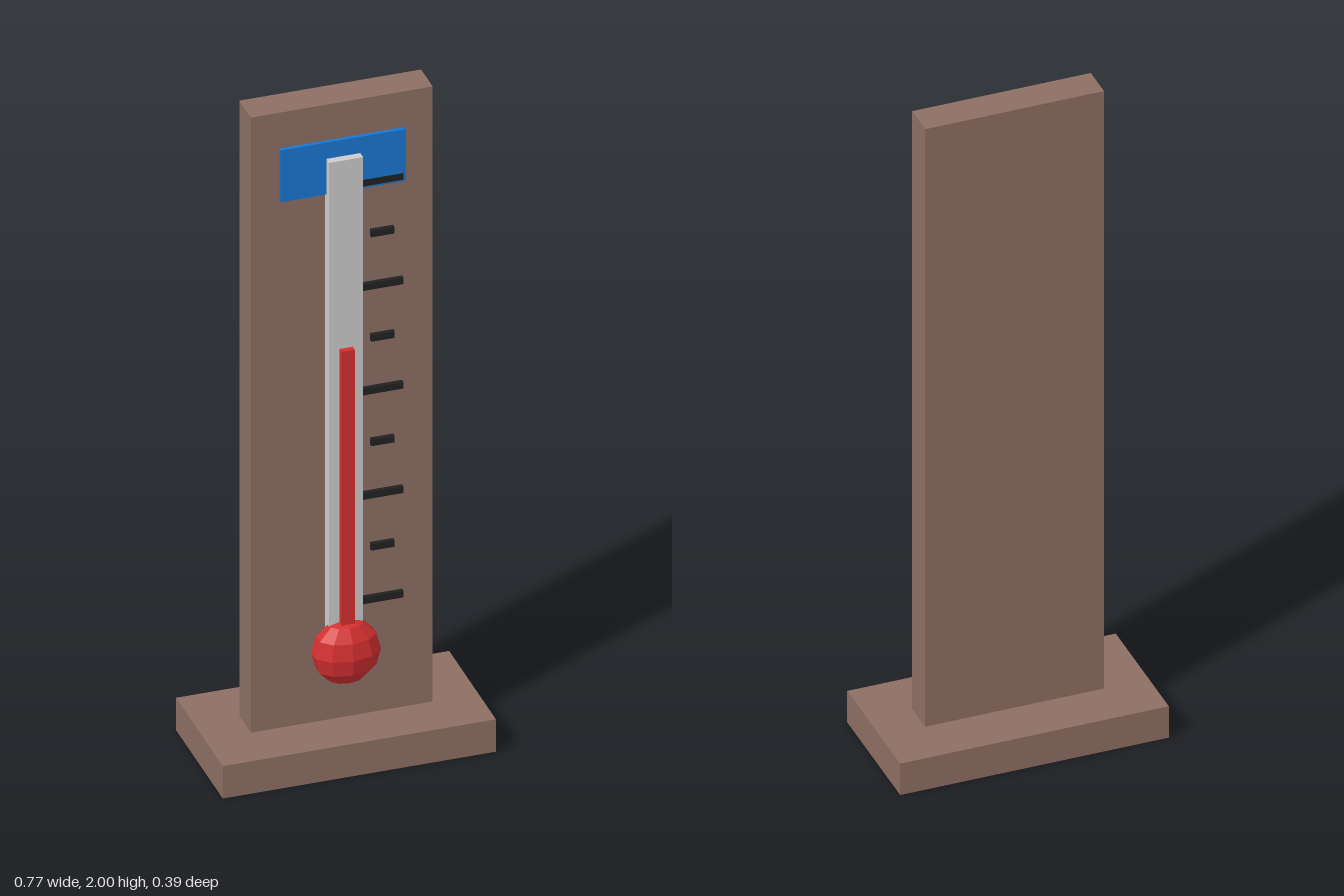
import * as THREE from 'three';

const material = (color) => new THREE.MeshStandardMaterial({ color, flatShading: true });

export function createModel() {
  const model = new THREE.Group();
  model.name = 'standingThermometer';
  const wood = material(0x8d6e63);
  const red = material(0xd32f2f);
  const blue = material(0x1976d2);
  const black = material(0x212121);
  const grey = material(0xcccccc);

  // Box given by its extents on each axis
  const box = (name, mat, [x0, x1], [y0, y1], [z0, z1], parent = model) => {
    const mesh = new THREE.Mesh(new THREE.BoxGeometry(x1 - x0, y1 - y0, z1 - z0), mat);
    mesh.position.set((x0 + x1) / 2, (y0 + y1) / 2, (z0 + z1) / 2);
    mesh.name = name;
    parent.add(mesh);
    return mesh;
  };

  // Stand
  box('base', wood, [-0.386, 0.386], [0, 0.1], [-0.193, 0.193]);
  box('backBoard', wood, [-0.257, 0.257], [0.1, 2], [-0.048, 0.048]);

  // Header plate, tube and liquid column, layered forwards
  box('headerPlate', blue, [-0.177, 0.177], [1.73, 1.89], [0.045, 0.06]);
  box('tube', grey, [-0.048, 0.048], [0.36, 1.84], [0.045, 0.083]);
  box('liquidColumn', red, [-0.019, 0.019], [0.33, 1.26], [0.07, 0.1]);

  // Faceted bulb, flattened in depth, with an edge facing forwards
  const bulbGeometry = new THREE.SphereGeometry(0.097, 10, 6);
  bulbGeometry.rotateY(Math.PI / 2);
  bulbGeometry.scale(1, 1, 0.67);
  const bulb = new THREE.Mesh(bulbGeometry, red);
  bulb.name = 'bulb';
  bulb.position.set(0, 0.325, 0.082);
  model.add(bulb);

  // Scale marks, alternating long and short
  const scaleMarks = new THREE.Group();
  scaleMarks.name = 'scaleMarks';
  model.add(scaleMarks);
  for (let i = 0; i < 9; i++) {
    const long = i % 2 === 0;
    const half = long ? 0.058 : 0.033;
    const y = 0.455 + i * 0.1613;
    box(long ? 'longMark' : 'shortMark', black,
      [0.112 - half, 0.112 + half], [y - 0.01, y + 0.01], [0.045, 0.061], scaleMarks);
  }

  return model;
}
